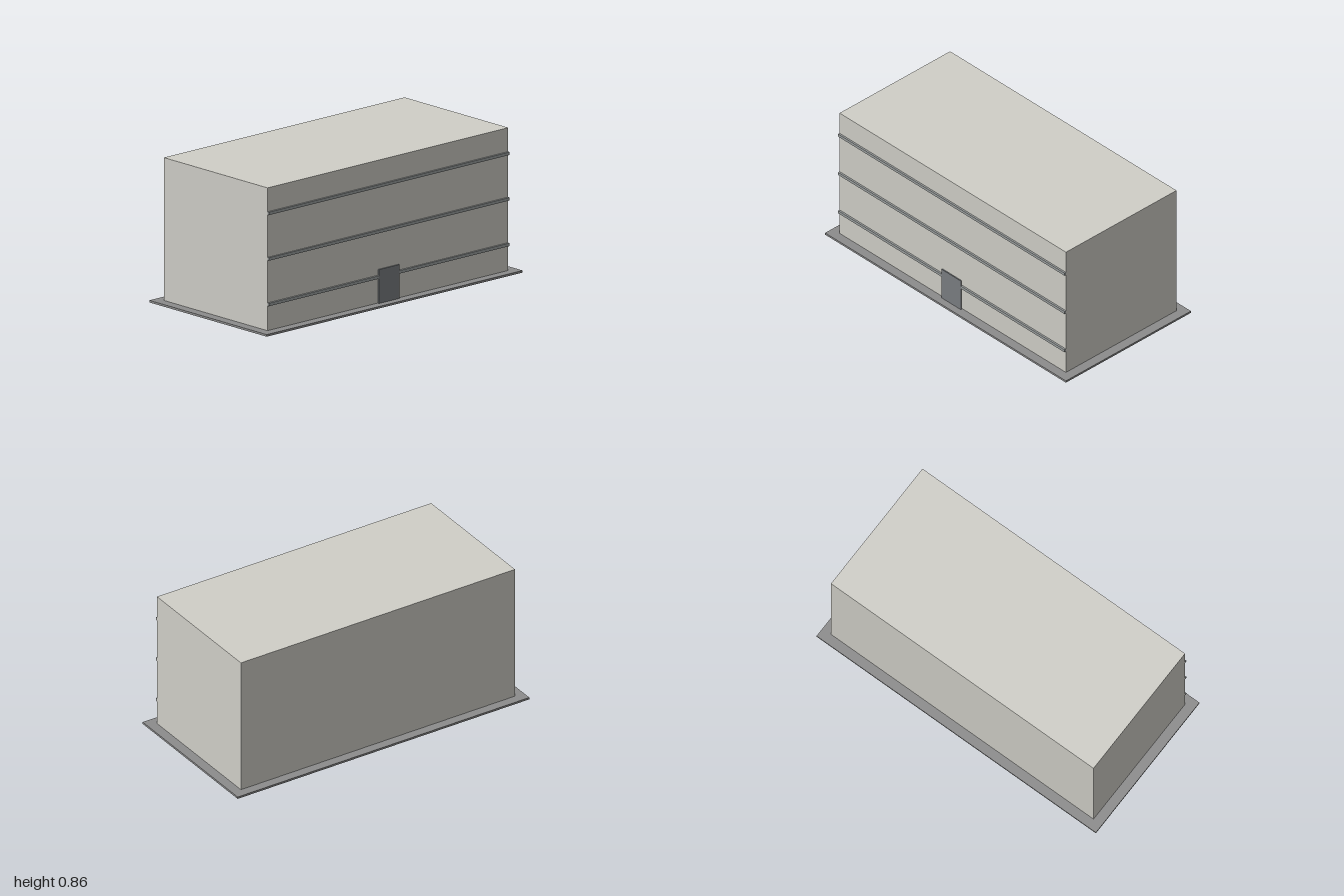
import * as THREE from 'three';

export function createModel() {
  const building = new THREE.Group();
  building.name = 'officeBuilding';

  // Box given by its lower and upper corners
  const addBox = (name, color, [x0, y0, z0], [x1, y1, z1]) => {
    const mesh = new THREE.Mesh(
      new THREE.BoxGeometry(x1 - x0, y1 - y0, z1 - z0),
      new THREE.MeshStandardMaterial({ color })
    );
    mesh.name = name;
    mesh.position.set((x0 + x1) / 2, (y0 + y1) / 2, (z0 + z1) / 2);
    building.add(mesh);
  };

  const ground = 0.0125, halfX = 0.94, halfZ = 0.4375;

  // Paved plinth and the main block
  addBox('plinth', 0x8c8c8c, [-1, 0, -0.495], [1, ground, 0.495]);
  addBox('mainBlock', 0xd0cfc8, [-halfX, ground, -halfZ], [halfX, 0.8625, halfZ]);

  // One ledge per storey across the front
  for (let i = 0; i < 3; i++) {
    const y = 0.16 + i * 0.271;
    addBox(`frontLedge${i + 1}`, 0x9a9e9e, [-halfX, y, halfZ], [halfX, y + 0.018, 0.449]);
  }

  // Entrance door panel, standing just proud of the wall
  addBox('entranceDoor', 0x7a7e82, [-0.08, ground, 0.443], [0.08, 0.2145, 0.45]);

  return building;
}
